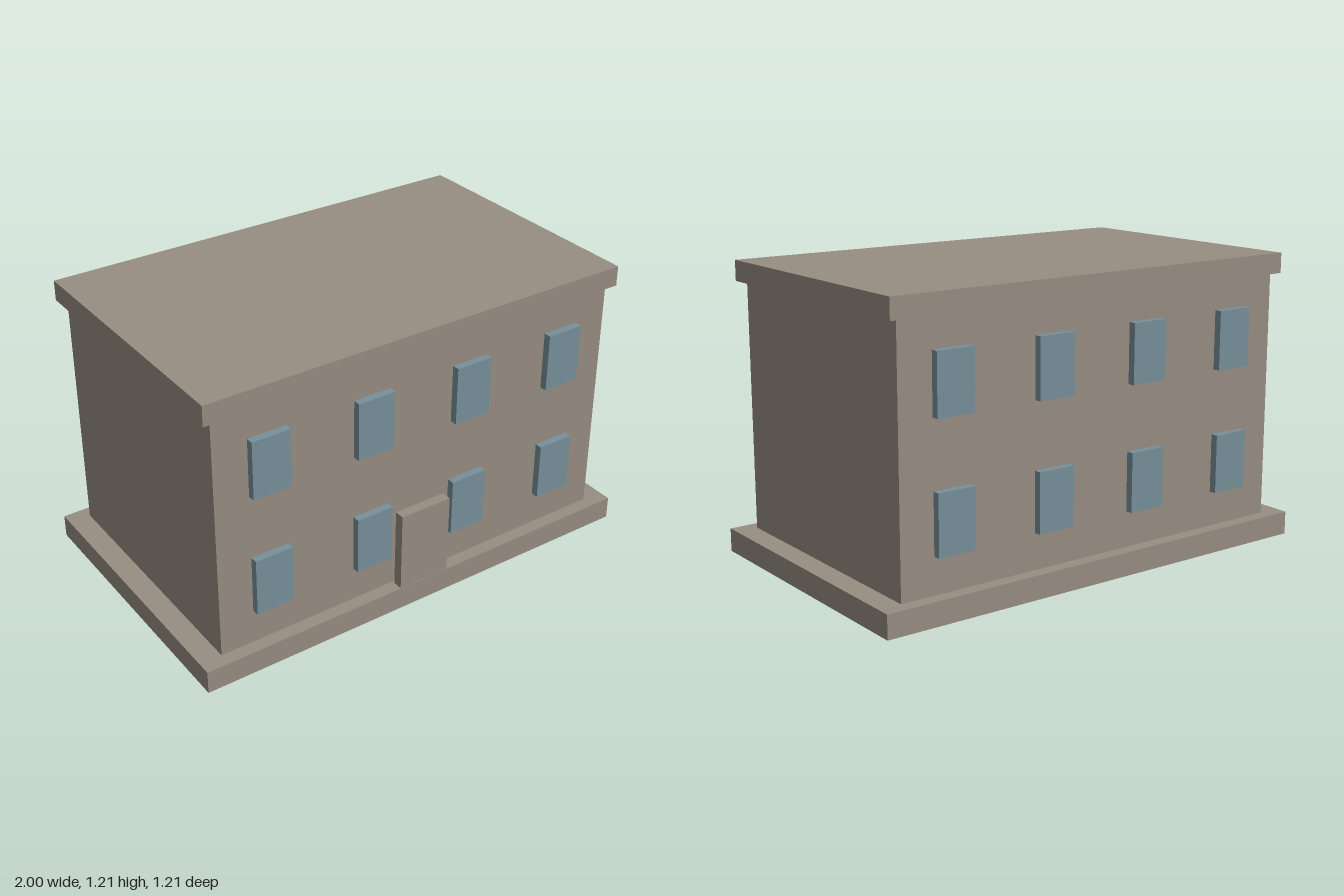
import * as THREE from 'three';

export function createModel() {
  const model = new THREE.Group();
  model.name = 'building';

  const stone = new THREE.MeshStandardMaterial({ color: 0x988e83 });
  stone.name = 'stone';
  const glass = new THREE.MeshStandardMaterial({ color: 0x78909c });
  glass.name = 'blue glass';

  // Box centred on x and z = cz, standing on y = bottom
  function block(name, material, w, bottom, top, d, x = 0, z = 0) {
    const mesh = new THREE.Mesh(new THREE.BoxGeometry(w, top - bottom, d), material);
    mesh.position.set(x, (bottom + top) / 2, z);
    mesh.name = name;
    model.add(mesh);
  }

  // Main masses
  block('plinth', stone, 2, 0, 0.097, 1.208);
  block('walls', stone, 1.814, 0.097, 1.123, 1.098);
  block('roofSlab', stone, 1.89, 1.123, 1.207, 1.142);

  // Door slab standing just in front of the wall
  block('door', stone, 0.23, 0.097, 0.44, 0.042, 0, 0.581);

  // Two rows of four windows on the front and back
  for (const side of [1, -1]) {
    for (const bottom of [0.245, 0.758]) {
      for (let i = 0; i < 4; i++) {
        const x = (i - 1.5) * 0.4545;
        block('window', glass, 0.162, bottom, bottom + 0.243, 0.06, x, side * 0.55);
      }
    }
  }

  return model;
}
